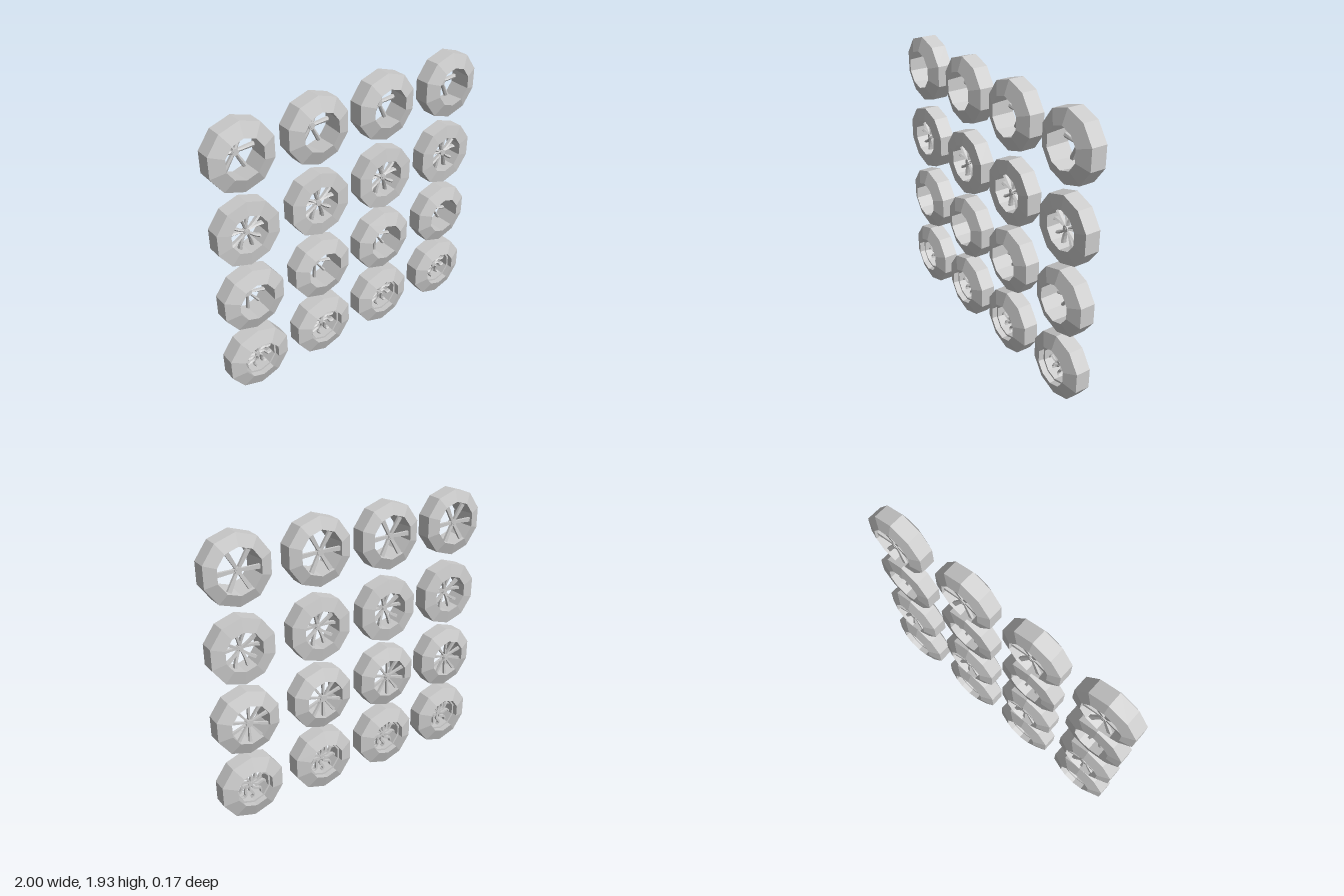
import * as THREE from 'three';

const SIDES = 10;
const material = new THREE.MeshStandardMaterial({ color: 0xcccccc, flatShading: true });
const TAU = Math.PI * 2;

// Ring turned around z from a closed [radius, z] profile
function turned(profile) {
  const points = profile.map(([r, z]) => new THREE.Vector2(r, z));
  points.push(points[0].clone());
  return new THREE.LatheGeometry(points, SIDES).rotateX(Math.PI / 2);
}

// Ridged bar swept along sections of { r, a, z, w, d }: radius, angle, depth, half width, half depth
function spokeGeometry(sections) {
  const centres = sections.map((s) => new THREE.Vector2(s.r * Math.cos(s.a), s.r * Math.sin(s.a)));
  const positions = [];
  const index = [];
  sections.forEach(({ z, w, d }, i) => {
    const c = centres[i];
    const t = centres[Math.min(i + 1, centres.length - 1)].clone()
      .sub(centres[Math.max(i - 1, 0)]).normalize();
    for (const [u, v] of [[-w, -d], [w, -d], [w, d * 0.4], [0, d], [-w, d * 0.4]]) {
      positions.push(c.x - t.y * u, c.y + t.x * u, z + v);
    }
    if (i === 0) return;
    for (let k = 0; k < 5; k++) {
      const a = (i - 1) * 5 + k, b = (i - 1) * 5 + (k + 1) % 5;
      index.push(a, b, b + 5, a, b + 5, a + 5);
    }
  });
  const geometry = new THREE.BufferGeometry();
  geometry.setAttribute('position', new THREE.Float32BufferAttribute(positions, 3));
  geometry.setIndex(index);
  geometry.computeVertexNormals();
  return geometry;
}

// Samples a section rule from hub (t = 0) to rim (t = 1)
function sampleSpoke(steps, rule) {
  return spokeGeometry(Array.from({ length: steps + 1 }, (_, i) => rule(i / steps)));
}

const lerp = THREE.MathUtils.lerp;

// One entry per row, from top to bottom
const designs = [
  { // six straight spokes set towards the back
    y: 1.707, count: 6, start: 0, hub: [0.022, -0.04, 0.035],
    tyre: [[0.145, -0.077], [0.222, -0.05], [0.222, 0.05], [0.129, 0.084]],
    spokes: [sampleSpoke(1, (t) => ({
      r: lerp(0.012, 0.134, t), a: 0, z: lerp(-0.038, -0.05, t), w: lerp(0.009, 0.014, t), d: 0.012,
    }))],
  },
  { // five forked spokes
    y: 1.199, count: 5, start: Math.PI / 2, hub: [0.02, 0.01, 0.035],
    tyre: [[0.129, -0.066], [0.22, -0.05], [0.22, 0.05], [0.129, 0.061]],
    spokes: [-1, 1].map((side) => sampleSpoke(4, (t) => ({
      r: lerp(0.012, 0.13, t), a: side * (0.1 + 0.19 * t), z: lerp(0.01, 0, t),
      w: lerp(0.006, 0.01, t), d: lerp(0.012, 0.018, t),
    }))),
  },
  { // ten straight spokes widening outwards
    y: 0.707, count: 10, start: Math.PI / 2, hub: [0.025, -0.045, 0.035],
    tyre: [[0.135, -0.084], [0.222, -0.05], [0.222, 0.05], [0.129, 0.084]],
    spokes: [sampleSpoke(2, (t) => ({
      r: lerp(0.015, 0.132, t), a: 0, z: lerp(-0.042, -0.05, t), w: lerp(0.004, 0.01, t), d: 0.012,
    }))],
  },
  { // ten wavy spokes inside a stepped rim
    y: 0.224, count: 10, start: Math.PI / 2, hub: [0.018, 0, 0.035],
    tyre: [[0.129, -0.084], [0.224, -0.05], [0.224, 0.05], [0.129, 0.084]],
    rim: [[0.116, -0.045], [0.132, -0.045], [0.132, 0.045], [0.116, 0.045]],
    spokes: [sampleSpoke(8, (t) => ({
      r: lerp(0.012, 0.12, t), a: 0.2 * Math.sin(t * TAU), z: 0, w: 0.004 + 0.004 * Math.sin(t * Math.PI), d: 0.014,
    }))],
  },
];

function addMesh(parent, name, geometry) {
  const mesh = new THREE.Mesh(geometry, material);
  mesh.name = name;
  parent.add(mesh);
  return mesh;
}

function createWheel({ count, start, hub: [radius, z, length], tyre, rim, spokes }) {
  const wheel = new THREE.Group();
  wheel.name = 'wheel';
  addMesh(wheel, 'tyre', turned(tyre));
  if (rim) addMesh(wheel, 'rim', turned(rim));

  // Hub with a small raised cap on both ends
  const hub = new THREE.CylinderGeometry(radius, radius, length, SIDES).rotateX(Math.PI / 2);
  const cap = new THREE.CylinderGeometry(radius * 0.55, radius * 0.55, length + 0.006, SIDES).rotateX(Math.PI / 2);
  addMesh(wheel, 'hub', hub).position.z = z;
  addMesh(wheel, 'hubCap', cap).position.z = z;

  // Spokes spread evenly around the hub
  for (let i = 0; i < count; i++) {
    for (const geometry of spokes) {
      addMesh(wheel, 'spoke', geometry).rotation.z = start + (i / count) * TAU;
    }
  }
  return wheel;
}

export function createModel() {
  const model = new THREE.Group();
  model.name = 'wheelSet';
  for (const design of designs) {
    const wheel = createWheel(design);
    for (const x of [-0.789, -0.27, 0.249, 0.789]) {
      const copy = wheel.clone();
      copy.position.set(x, design.y, 0);
      model.add(copy);
    }
  }
  return model;
}
